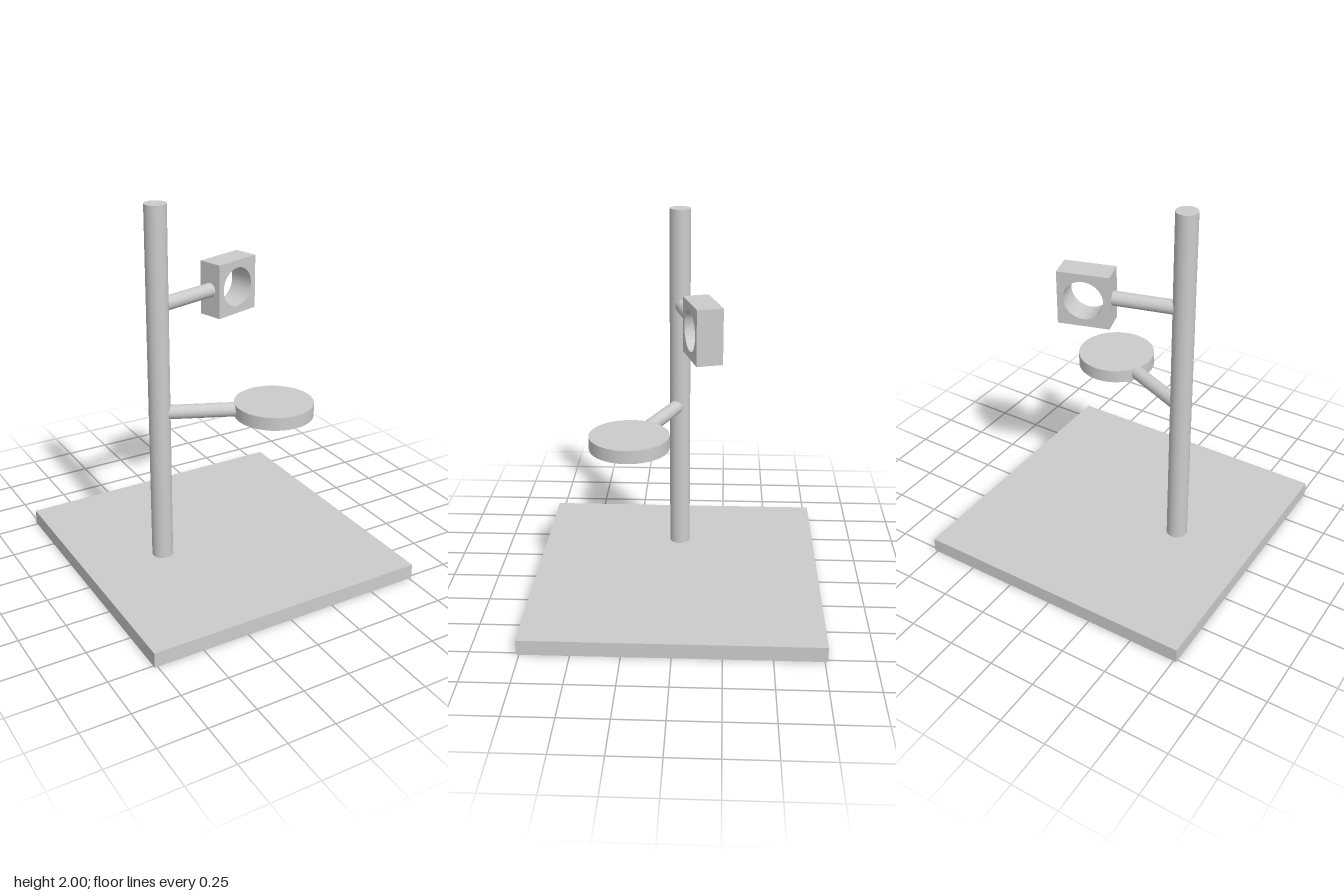
import * as THREE from 'three';

const SEG = 40;
const POST = { x: -0.33, z: 0, radius: 0.056 };
const material = new THREE.MeshStandardMaterial({ color: 0xcccccc });

function addPart(group, name, geometry, x, y, z) {
  const mesh = new THREE.Mesh(geometry, material);
  mesh.name = name;
  mesh.position.set(x, y, z);
  group.add(mesh);
  return mesh;
}

// Horizontal rod leaving the post at a heading, between two distances from its axis
function addArm(group, name, y, heading, start, end) {
  const rod = new THREE.CylinderGeometry(0.037, 0.037, end - start, SEG);
  rod.rotateZ(-Math.PI / 2);
  rod.translate((start + end) / 2, 0, 0);
  addPart(group, name, rod, POST.x, y, POST.z).rotation.y = heading;
}

// Square block with a round through-hole, centred on its own middle
function holedBlock(width, height, depth, radius) {
  const w = width / 2, h = height / 2;
  const shape = new THREE.Shape([
    new THREE.Vector2(-w, -h), new THREE.Vector2(w, -h),
    new THREE.Vector2(w, h), new THREE.Vector2(-w, h),
  ]);
  shape.holes.push(new THREE.Path().absarc(0, 0, radius, 0, Math.PI * 2, true));
  const geometry = new THREE.ExtrudeGeometry(shape, { depth, bevelEnabled: false, curveSegments: SEG });
  return geometry.translate(0, 0, -depth / 2);
}

export function createModel() {
  const group = new THREE.Group();
  group.name = 'stand';

  // Base plate and upright post
  addPart(group, 'basePlate', new THREE.BoxGeometry(1.53, 0.08, 1.53), 0, 0.04, 0);
  addPart(group, 'post', new THREE.CylinderGeometry(POST.radius, POST.radius, 1.92, SEG), POST.x, 1.04, POST.z);

  // Upper arm carrying the holed block
  addArm(group, 'upperArm', 1.488, Math.atan2(0.092, 0.35), 0.045, 0.366);
  const block = addPart(group, 'holedBlock', holedBlock(0.269, 0.285, 0.134, 0.103), 0.148, 1.488, -0.13);
  block.rotation.y = THREE.MathUtils.degToRad(16.4);

  // Lower arm carrying the round platform
  addArm(group, 'lowerArm', 0.914, -Math.atan2(0.237, 0.54), 0.038, 0.39);
  addPart(group, 'platform', new THREE.CylinderGeometry(0.206, 0.206, 0.07, SEG), 0.21, 0.914, 0.237);

  return group;
}
